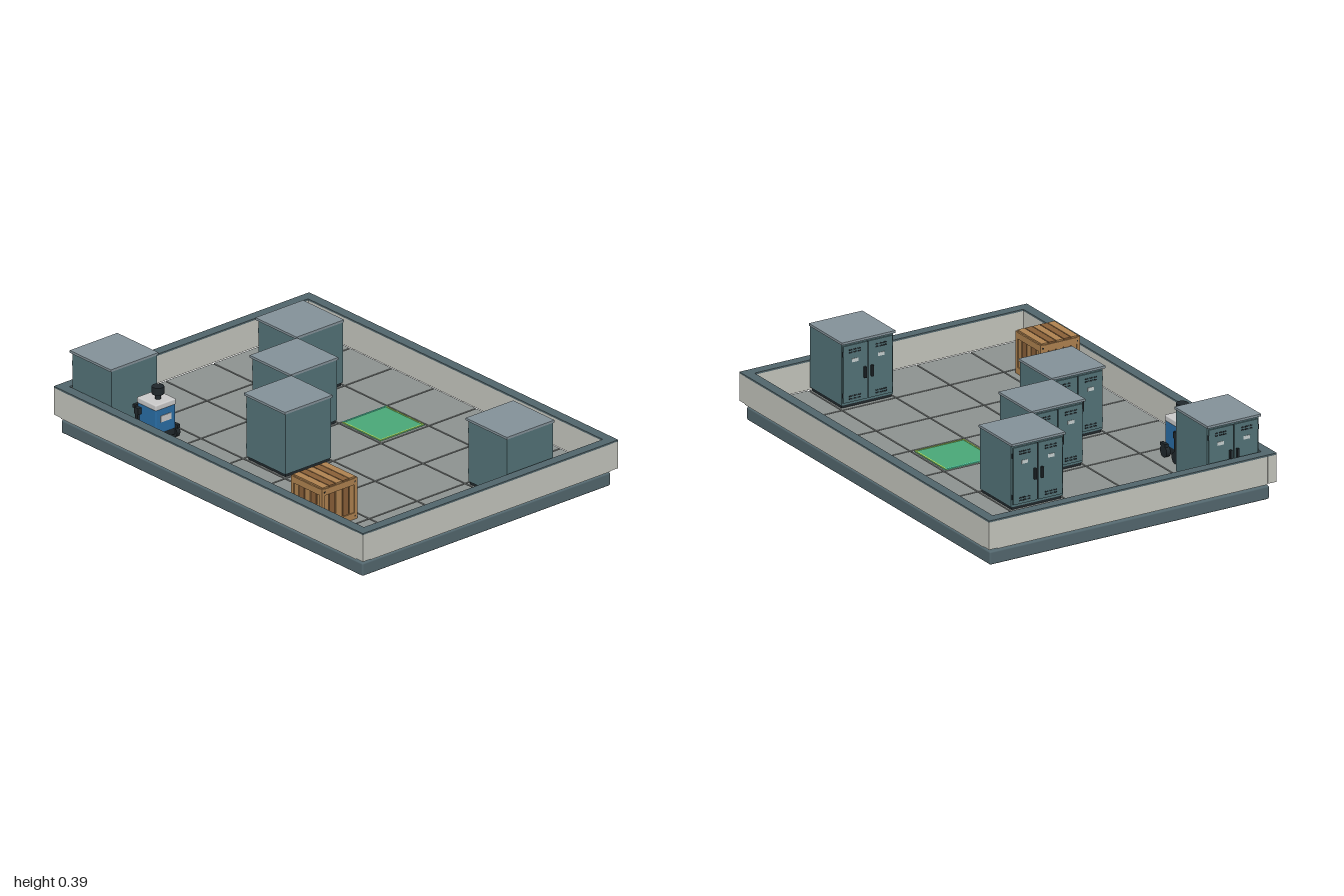
import * as THREE from 'three';
import { RoundedBoxGeometry } from 'three/addons/geometries/RoundedBoxGeometry.js';

const mat = (color) => new THREE.MeshStandardMaterial({ color });
const M = {
  base: mat(0x54686f), wall: mat(0xc6c7bf), cap: mat(0x52666c), tile: mat(0x8e9391),
  grout: mat(0x3a4448), locker: mat(0x547479), lockerTop: mat(0x84929a), dark: mat(0x20282c),
  label: mat(0xc9d2d2), wood: mat(0xb08350), woodDark: mat(0x8a6038), blue: mat(0x2a6ea6),
  white: mat(0xd8dad6), green: mat(0x4aa878), lime: mat(0xa8d860), cyan: mat(0x58e0b8),
};
const CELL = 0.272, FLOOR = 0.08;

function add(parent, name, geometry, material, x, y, z) {
  const mesh = new THREE.Mesh(geometry, material);
  mesh.name = name;
  mesh.position.set(x, y, z);
  parent.add(mesh);
  return mesh;
}
// Box centred at x, y, z
const box = (p, name, m, w, h, d, x, y, z) => add(p, name, new THREE.BoxGeometry(w, h, d), m, x, y, z);
const rounded = (p, name, m, w, h, d, r, x, y, z) =>
  add(p, name, new RoundedBoxGeometry(w, h, d, 2, r), m, x, y, z);

function part(parent, name, x, y, z) {
  const g = new THREE.Group();
  g.name = name;
  g.position.set(x, y, z);
  parent.add(g);
  return g;
}

// Two-door cabinet, doors towards -z
function locker(parent, col, row) {
  const g = part(parent, 'locker', col * CELL, FLOOR, row * CELL);
  box(g, 'lockerPlinth', M.dark, 0.25, 0.015, 0.24, 0, 0.0075, 0.005);
  box(g, 'lockerBody', M.locker, 0.26, 0.284, 0.25, 0, 0.156, 0.005);
  box(g, 'lockerTop', M.lockerTop, 0.27, 0.011, 0.266, 0, 0.3035, 0);
  for (const s of [-1, 1]) {
    box(g, 'lockerDoor', M.locker, 0.12, 0.262, 0.008, s * 0.0635, 0.156, -0.123);
    for (const y of [0.253, 0.265, 0.04, 0.052])
      for (const i of [-1, 0, 1])
        box(g, 'vent', M.dark, 0.016, 0.006, 0.002, s * 0.066 + i * 0.021, y, -0.1275);
    box(g, 'doorLabel', M.label, 0.032, 0.016, 0.002, s * 0.066, 0.215, -0.1275);
    box(g, 'doorHandle', M.dark, 0.01, 0.05, 0.012, s * 0.018, 0.15, -0.133);
    for (const y of [0.06, 0.25]) box(g, 'hinge', M.dark, 0.006, 0.022, 0.005, s * 0.125, y, -0.1225);
  }
  box(g, 'doorSeam', M.dark, 0.005, 0.262, 0.002, 0, 0.156, -0.121);
}

// Planked crate with corner posts and rails
function crate(parent, x, z) {
  const g = part(parent, 'crate', x, FLOOR, z);
  const s = 0.2, h = 0.2;
  box(g, 'crateCore', M.woodDark, s - 0.022, h - 0.012, s - 0.022, 0, h / 2, 0);
  for (let i = 0; i < 5; i++) {
    const o = (i - 2) * 0.038;
    box(g, 'topPlank', i % 2 ? M.woodDark : M.wood, 0.034, 0.012, s - 0.008, o, h - 0.006, 0);
    for (const k of [-1, 1]) {
      box(g, 'sidePlank', i % 2 ? M.woodDark : M.wood, 0.033, h - 0.05, 0.008, o, h / 2, k * 0.091);
      box(g, 'sidePlank', i % 2 ? M.woodDark : M.wood, 0.008, h - 0.05, 0.033, k * 0.091, h / 2, o);
    }
  }
  for (const k of [-1, 1]) {
    for (const y of [0.016, h - 0.022]) {
      box(g, 'crateRail', M.wood, s, 0.03, 0.014, 0, y, k * 0.093);
      box(g, 'crateRail', M.wood, 0.014, 0.03, s, k * 0.093, y, 0);
    }
    for (const j of [-1, 1]) {
      box(g, 'cratePost', M.wood, 0.016, h - 0.01, 0.016, k * 0.092, h / 2, j * 0.092);
      for (const y of [0.016, h - 0.022]) box(g, 'nail', M.dark, 0.006, 0.006, 0.003, k * 0.086, y, j * 0.1);
    }
  }
}

// Small service robot: wheels, blue body, pale lid and a sensor head
function robot(parent, x, z) {
  const g = part(parent, 'robot', x, FLOOR, z);
  box(g, 'chassis', M.dark, 0.11, 0.03, 0.12, 0, 0.035, 0);
  for (const s of [-1, 1]) {
    for (const k of [-1, 1]) {
      const wheel = new THREE.CylinderGeometry(0.027, 0.027, 0.02, 16).rotateZ(Math.PI / 2);
      add(g, 'wheel', wheel, M.dark, s * 0.064, 0.027, k * 0.046);
    }
    box(g, 'shoulder', M.dark, 0.018, 0.03, 0.026, s * 0.065, 0.13, -0.045);
    box(g, 'arm', M.dark, 0.012, 0.08, 0.014, s * 0.067, 0.09, -0.045);
    box(g, 'gripper', M.dark, 0.016, 0.016, 0.04, s * 0.067, 0.055, 0.05);
  }
  box(g, 'backBar', M.dark, 0.14, 0.016, 0.016, 0, 0.145, -0.064);
  rounded(g, 'robotBody', M.blue, 0.112, 0.115, 0.12, 0.006, 0, 0.105, 0.002);
  rounded(g, 'robotLid', M.white, 0.116, 0.028, 0.124, 0.006, 0, 0.173, 0.002);
  box(g, 'chestPanel', M.white, 0.06, 0.03, 0.004, 0, 0.115, 0.063);
  add(g, 'neck', new THREE.CylinderGeometry(0.011, 0.014, 0.03, 16), M.dark, 0, 0.198, 0.012);
  add(g, 'head', new THREE.CylinderGeometry(0.027, 0.027, 0.034, 24), M.dark, 0, 0.228, 0.012);
}

// Glowing floor pad with a thin frame
function pad(parent, x, z) {
  const g = part(parent, 'floorPad', x, FLOOR, z);
  box(g, 'padPlate', M.green, 0.25, 0.004, 0.25, 0, 0.002, 0);
  for (const s of [-1, 1]) {
    box(g, 'padEdge', M.lime, 0.007, 0.006, 0.25, s * 0.1215, 0.003, 0);
    box(g, 'padEdge', s < 0 ? M.cyan : M.lime, 0.25, 0.006, 0.007, 0, 0.0031, s * 0.1215);
  }
}

export function createModel() {
  const room = new THREE.Group();
  room.name = 'storageRoom';

  // Base slab and floor tiles
  rounded(room, 'baseSlab', M.base, 1.41, 0.062, 1.95, 0.008, 0, 0.031, 0);
  box(room, 'floorBed', M.grout, 1.355, 0.008, 1.9, 0, 0.065, 0);
  for (let c = -2; c <= 2; c++)
    for (let r = -3; r <= 3; r++)
      box(room, 'floorTile', M.tile, 0.265, 0.016, 0.265, c * CELL, FLOOR - 0.008, r * CELL);

  // Low walls, corner posts and dark coping
  for (const s of [-1, 1]) {
    box(room, 'endWall', M.wall, 1.362, 0.13, 0.045, 0, 0.145, s * 0.976);
    box(room, 'sideWall', M.wall, 0.045, 0.13, 1.908, s * 0.702, 0.145, 0);
    for (const k of [-1, 1]) box(room, 'cornerPost', M.wall, 0.044, 0.126, 0.046, s * 0.703, 0.147, k * 0.977);
    box(room, 'endCoping', M.cap, 1.45, 0.008, 0.047, 0, 0.213, s * 0.9765);
    box(room, 'sideCoping', M.cap, 0.047, 0.008, 1.906, s * 0.7015, 0.213, 0);
  }

  // Contents, placed on the tile grid
  for (const [c, r] of [[-2, -3], [1, -2], [0, -1], [-1, 0], [1, 3]]) locker(room, c, r);
  crate(room, -2 * CELL, 2 * CELL);
  robot(room, -2 * CELL, -2 * CELL);
  pad(room, CELL, -0.005);
  return room;
}
